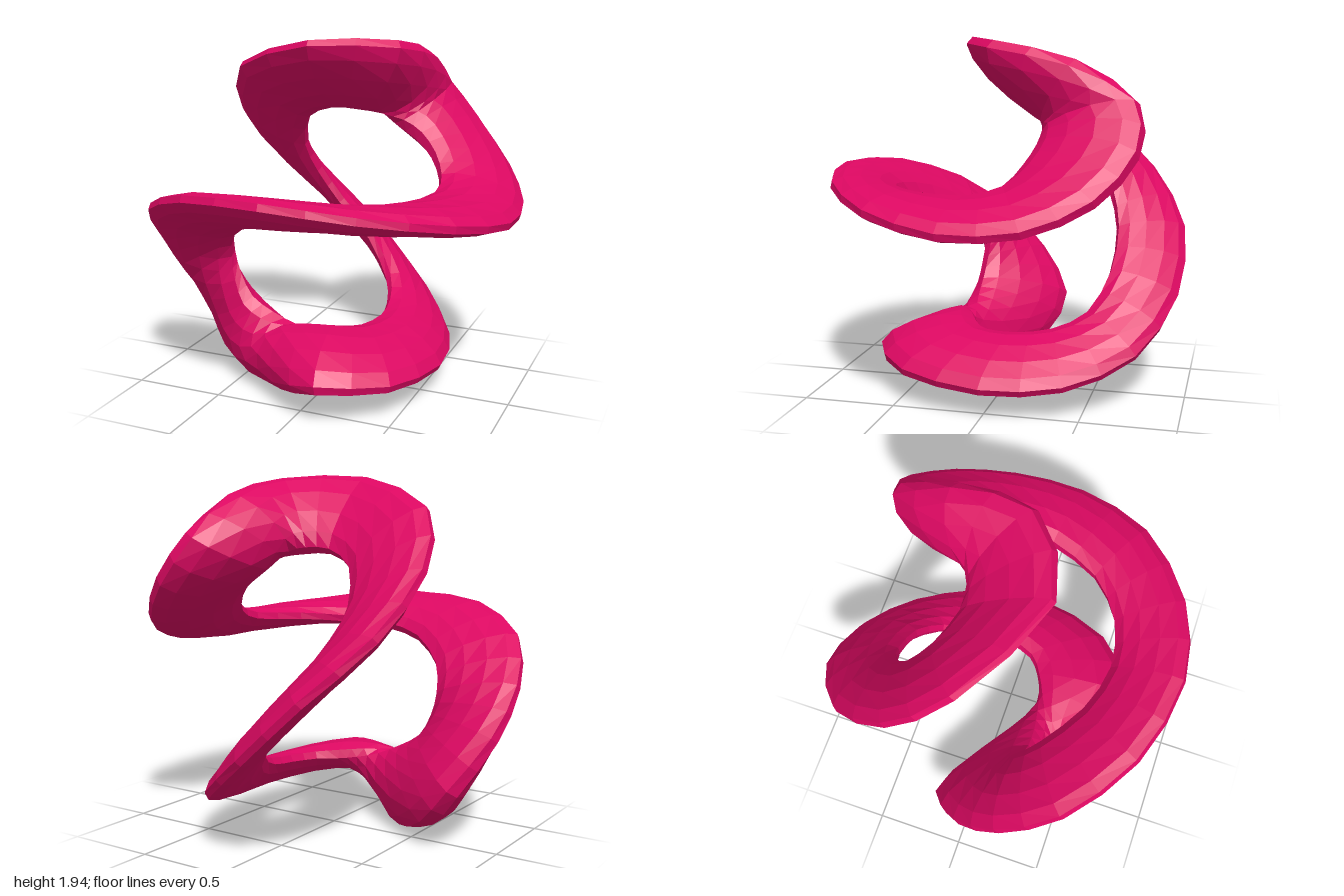
import * as THREE from 'three';

// Matching points on the outer and inner edge of the band, in order along the closed loop
const outer = [
  [-0.07, 1.92, 0.23], [-0.62, 1.76, -0.08], [-0.78, 1.47, -0.4], [-0.71, 1.17, -0.73],  // top ring
  [-0.43, 0.87, -0.94], [-0.07, 0.55, -0.94], [0.28, 0.3, -0.76], [0.53, 0.18, -0.42],   // rear descent
  [0.61, 0.16, 0.0], [0.48, 0.19, 0.45], [0.16, 0.22, 0.68], [-0.14, 0.11, 0.48],        // bottom ring
  [-0.35, 0.01, 0.17], [-0.62, 0.13, -0.09], [-0.82, 0.34, -0.18], [-0.97, 0.6, 0.0],    // left turn
  [-0.99, 0.84, 0.25], [-0.85, 1.06, 0.56], [-0.48, 1.2, 0.84], [0, 1.23, 0.95],         // front sweep
  [0.45, 1.18, 0.84], [0.83, 1.1, 0.52], [0.99, 1.03, 0.1], [0.96, 1.05, -0.3],
  [0.8, 1.18, -0.61], [0.57, 1.39, -0.78], [0.38, 1.63, -0.75], [0.4, 1.82, -0.43],      // right turn
  [0.35, 1.91, 0.0],
];
const inner = [
  [-0.12, 1.54, -0.22], [-0.3, 1.46, -0.3], [-0.38, 1.27, -0.43], [-0.34, 1.09, -0.53],
  [-0.22, 0.89, -0.59], [-0.02, 0.68, -0.58], [0.13, 0.48, -0.48], [0.2, 0.39, -0.3],
  [0.22, 0.36, -0.1], [0.17, 0.35, 0.07], [0.07, 0.35, 0.15], [-0.04, 0.36, 0.2],
  [-0.17, 0.38, 0.24], [-0.3, 0.43, 0.26], [-0.42, 0.5, 0.26], [-0.49, 0.62, 0.25],
  [-0.52, 0.75, 0.25], [-0.46, 0.9, 0.34], [-0.25, 1.02, 0.5], [0, 1.07, 0.57],
  [0.25, 1.1, 0.51], [0.46, 1.12, 0.33], [0.57, 1.14, 0.05], [0.55, 1.2, -0.12],
  [0.48, 1.3, -0.21], [0.38, 1.39, -0.26], [0.26, 1.46, -0.27], [0.14, 1.52, -0.25],
  [0.03, 1.54, -0.23],
];

const SEGMENTS = outer.length * 2;
const SIDES = 12;

// The band swells at its two twists, by different amounts on its two faces
const twists = [
  { at: 12.6, reach: 1.6, faceA: 0.15, faceB: 0.02 },
  { at: 26.3, reach: 1.3, faceA: 0.07, faceB: 0.06 },
];
function halfThickness(t, face) {
  let half = 0.074;
  for (const twist of twists) {
    const d = (t * outer.length - twist.at) / twist.reach;
    half += twist[face] * Math.exp(-d * d / 2);
  }
  return half;
}

function edgeCurve(points) {
  return new THREE.CatmullRomCurve3(
    points.map((p) => new THREE.Vector3(...p)), true, 'catmullrom', 0.45);
}

// Sweeps a flat oval along the loop, spanning from the inner to the outer edge
function bandGeometry() {
  const a = edgeCurve(outer), b = edgeCurve(inner);
  const middle = (t) => a.getPoint(t % 1).add(b.getPoint(t % 1)).multiplyScalar(0.5);
  const positions = [], index = [];
  for (let i = 0; i < SEGMENTS; i++) {
    const t = i / SEGMENTS;
    const centre = middle(t);
    const tangent = middle(t + 0.025).sub(middle(t + 0.975)).normalize();
    const width = a.getPoint(t).sub(b.getPoint(t)).multiplyScalar(0.5);
    const normal = tangent.clone().cross(width).normalize();
    for (let j = 0; j < SIDES; j++) {
      // half a step of offset leaves a narrow blunt face on each edge
      const angle = ((j + 0.5) / SIDES) * Math.PI * 2;
      const face = j < SIDES / 2 ? 'faceA' : 'faceB';
      const p = centre.clone()
        .addScaledVector(width, Math.cos(angle) / Math.cos(Math.PI / SIDES))
        .addScaledVector(normal, Math.sin(angle) * halfThickness(t, face));
      positions.push(p.x, p.y, p.z);
      const k = (j + 1) % SIDES, n = (i + 1) % SEGMENTS;
      const p0 = i * SIDES + j, p1 = i * SIDES + k;
      const p2 = n * SIDES + k, p3 = n * SIDES + j;
      index.push(p0, p1, p2, p0, p2, p3);
    }
  }
  const geometry = new THREE.BufferGeometry();
  geometry.setAttribute('position', new THREE.Float32BufferAttribute(positions, 3));
  geometry.setIndex(index);
  geometry.computeVertexNormals();
  return geometry;
}

export function createModel() {
  const group = new THREE.Group();
  group.name = 'loopSculpture';
  const material = new THREE.MeshStandardMaterial({ color: 0xdd0862, flatShading: true });
  const band = new THREE.Mesh(bandGeometry(), material);
  band.name = 'twistedBand';
  group.add(band);
  return group;
}
